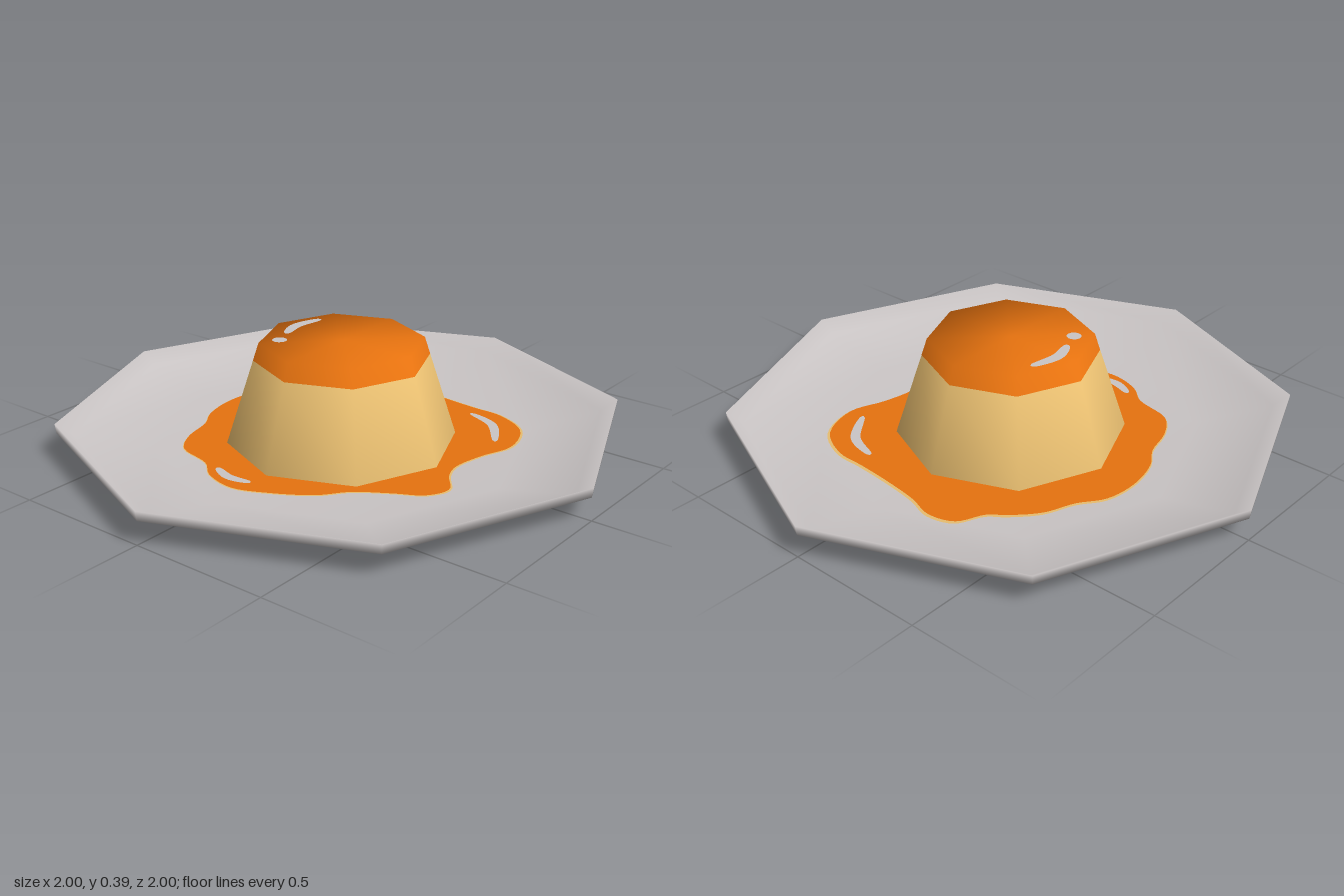
import * as THREE from 'three';

const material = (name, color) => {
  const m = new THREE.MeshStandardMaterial({ color });
  m.name = name;
  return m;
};

// Eight-sided revolved part; optional [radial, up] normals blend its shading.
function octagonal(profile, normals) {
  const geo = new THREE.LatheGeometry(profile.map(p => new THREE.Vector2(...p)), 8);
  if (normals) {
    const n = geo.attributes.normal;
    for (let i = 0; i < n.count; i++) {
      const a = Math.floor(i / profile.length) * Math.PI / 4;
      const [r, up] = normals[i % profile.length];
      n.setXYZ(i, r * Math.sin(a), up, r * Math.cos(a));
    }
  }
  geo.normalizeNormals();
  return geo;
}

// Flat upward-facing patch from [x, z] outline points.
function patch(outline, y) {
  const shape = new THREE.Shape(outline.map(([x, z]) => new THREE.Vector2(x, -z)));
  return new THREE.ShapeGeometry(shape).rotateX(-Math.PI / 2).translate(0, y, 0);
}

// Closed smooth outline through [x, z] points.
function smoothLoop(points, scale = 1) {
  const curve = new THREE.CatmullRomCurve3(
    points.map(([x, z]) => new THREE.Vector3(x * scale, 0, z * scale)), true);
  return curve.getPoints(150).slice(0, -1).map(p => [p.x, p.z]);
}

// Round-ended tapered streak along [x, z] points.
function streak(points, width) {
  const curve = new THREE.SplineCurve(points.map(p => new THREE.Vector2(...p)));
  const sides = [[], []];
  for (let i = 0; i <= 16; i++) {
    const t = i / 16, p = curve.getPoint(t), d = curve.getTangent(t);
    const w = width / 2 * (0.2 + 0.8 * Math.sqrt(Math.max(0, Math.sin(Math.PI * t))));
    sides[0].push([p.x - d.y * w, p.y + d.x * w]);
    sides[1].unshift([p.x + d.y * w, p.y - d.x * w]);
  }
  return sides.flat();
}

export function createModel() {
  const group = new THREE.Group();
  const grey = material('plateGrey', 0xcac5c5);
  const custard = material('custardYellow', 0xe8be70);
  const caramel = material('caramelOrange', 0xe6720f);
  const add = (name, geo, mat) => {
    const mesh = new THREE.Mesh(geo, mat);
    mesh.name = name;
    group.add(mesh);
  };

  // Shallow plate: underside, rim, then inner slope to the floor
  add('plate', octagonal([
    [0, 0], [0.79, 0], [0.995, 0.08], [1, 0.115], [0.94, 0.073], [0.66, 0.01], [0, 0.01],
  ]), grey);

  // Tapered custard body and its caramel top
  add('custardBody', octagonal([[0.41, 0.01], [0.31, 0.32]],
    [[0.95, 0.31], [0.75, 0.66]]), custard);
  add('caramelTop', octagonal([[0.31, 0.32], [0.29, 0.383], [0, 0.383]],
    [[0.75, 0.66], [0.7, 0.71], [0, 1]]), caramel);

  // Caramel puddle with a thin pale edge
  const puddle = [
    [0, -0.55], [0.13, -0.535], [0.22, -0.475], [0.33, -0.43], [0.42, -0.35], [0.46, -0.3],
    [0.555, -0.25], [0.583, -0.155], [0.555, -0.06], [0.535, 0.085], [0.525, 0.22], [0.52, 0.33],
    [0.45, 0.46], [0.3, 0.515], [0.166, 0.475], [0.04, 0.457], [-0.03, 0.48], [-0.12, 0.54],
    [-0.2, 0.505], [-0.257, 0.41], [-0.33, 0.3], [-0.42, 0.225], [-0.5, 0.1], [-0.55, -0.03],
    [-0.52, -0.155], [-0.46, -0.23], [-0.42, -0.37], [-0.33, -0.435], [-0.21, -0.47], [-0.13, -0.52],
  ];
  add('puddleEdge', patch(smoothLoop(puddle, 1.01), 0.013).translate(0.004, 0, 0), custard);
  add('caramelPuddle', patch(smoothLoop(puddle), 0.016), caramel);

  // Pale glossy marks on the puddle and top
  add('puddleGlossLeft', patch(streak([[-0.47, -0.165], [-0.5, -0.085], [-0.487, 0]], 0.035), 0.02), grey);
  add('puddleGlossFront', patch(streak([[0.463, 0.24], [0.42, 0.36], [0.3, 0.45]], 0.035), 0.02), grey);
  add('topGloss', patch(streak([[-0.075, -0.19], [0.015, -0.218], [0.122, -0.195]], 0.04), 0.386), grey);
  add('topGlossDot', new THREE.CircleGeometry(0.026, 20)
    .rotateX(-Math.PI / 2).translate(-0.14, 0.386, -0.165), grey);

  return group;
}
